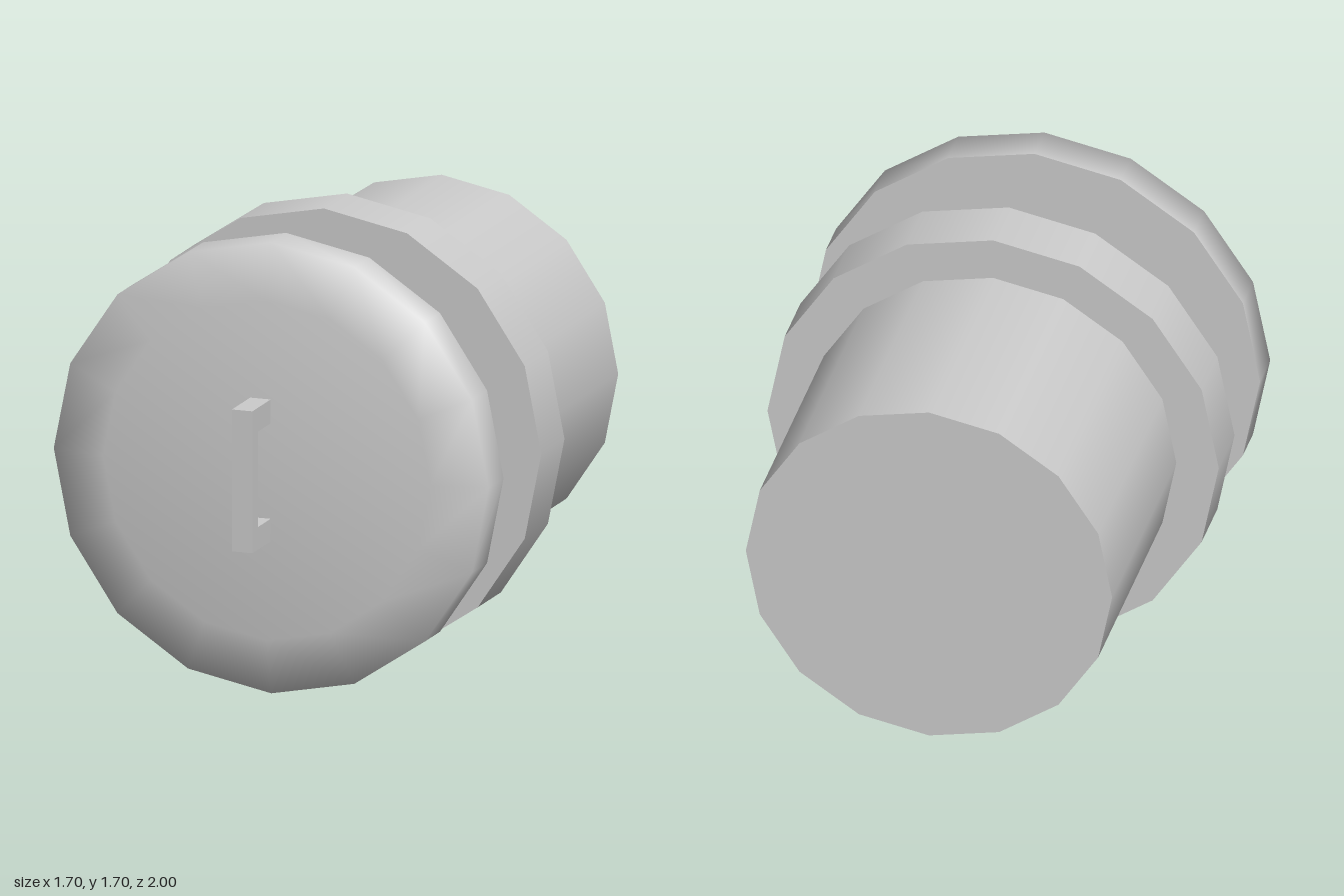
import * as THREE from 'three';
import { toCreasedNormals } from 'three/addons/utils/BufferGeometryUtils.js';

const SIDES = 16;
const AXIS_Y = 0.85; // height of the common axis

export function createModel() {
  const model = new THREE.Group();
  const material = new THREE.MeshStandardMaterial({ color: 0xcccccc });

  const add = (name, geometry) => {
    const mesh = new THREE.Mesh(geometry, material);
    mesh.name = name;
    model.add(mesh);
    return mesh;
  };

  // Cylinder lying along z between two depths
  const drum = (name, radius, back, front) => {
    const geometry = new THREE.CylinderGeometry(radius, radius, front - back, SIDES);
    geometry.rotateX(Math.PI / 2);
    add(name, geometry).position.set(0, AXIS_Y, (back + front) / 2);
  };

  drum('body', 0.69, -1, -0.02);
  drum('collar', 0.85, -0.02, 0.22);
  drum('neck', 0.52, 0.22, 0.61);

  // Front cap with a shallow, softly shaded bevel
  const profile = [[0, 0.61], [0.85, 0.61], [0.85, 0.765], [0.64, 0.81], [0, 0.81]]
    .map(([r, z]) => new THREE.Vector2(r, z));
  const cap = new THREE.LatheGeometry(profile, SIDES);
  cap.rotateX(Math.PI / 2);
  add('frontCap', toCreasedNormals(cap, 1.45)).position.y = AXIS_Y;

  // Bracket handle: C-shaped outline drawn in (z, y), extruded across x
  const outline = new THREE.Shape([
    [0.8, 0.585], [1, 0.585], [1, 1.12], [0.8, 1.12],
    [0.8, 1.03], [0.94, 1.03], [0.94, 0.67], [0.8, 0.67],
  ].map(([z, y]) => new THREE.Vector2(z, y)));
  const handle = new THREE.ExtrudeGeometry(outline, { depth: 0.08, bevelEnabled: false });
  handle.rotateY(-Math.PI / 2);
  add('handle', handle).position.x = 0.015;

  return model;
}
